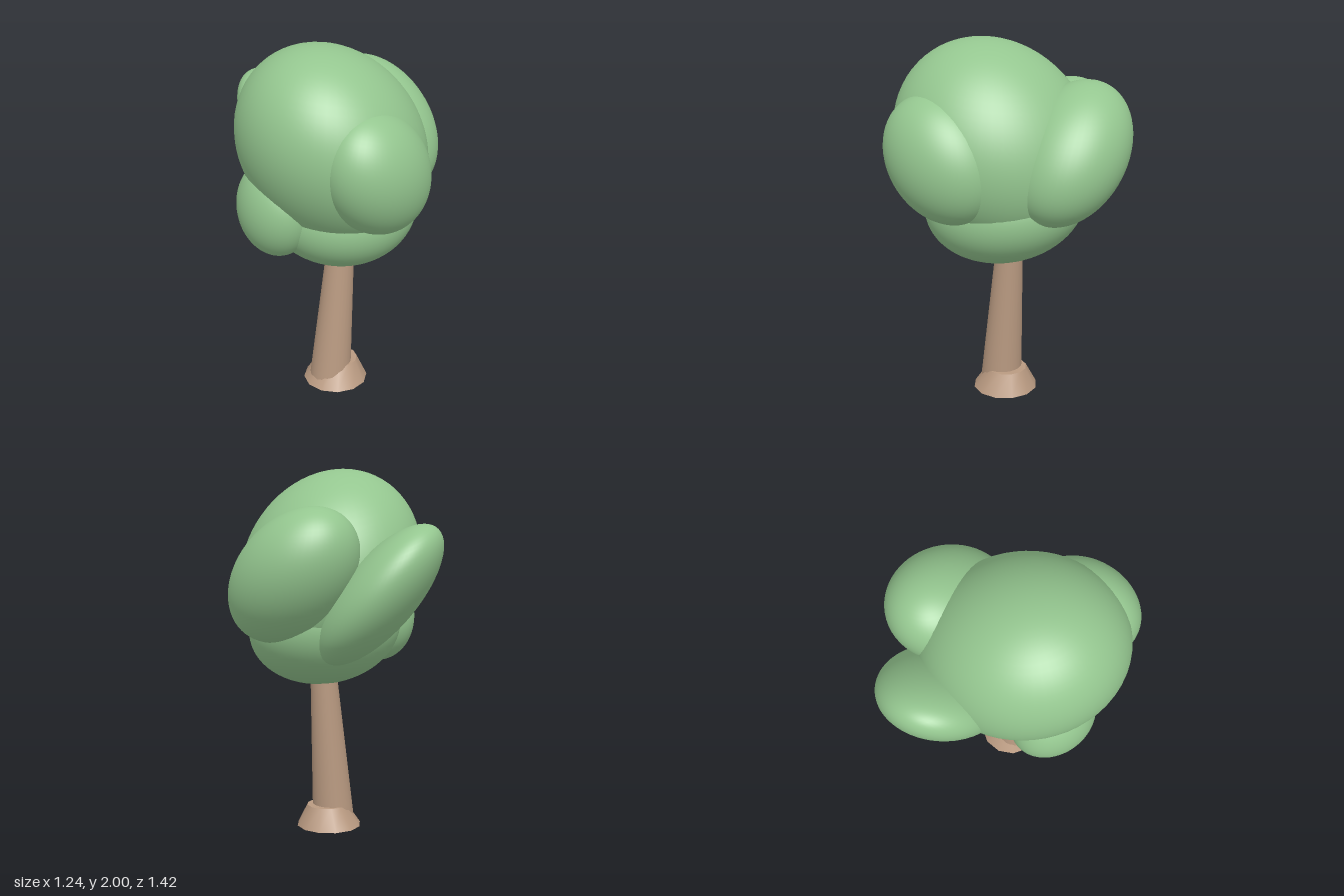
import * as THREE from 'three';

const leafGreen = new THREE.MeshStandardMaterial({ color: 0x94c68f });
leafGreen.name = 'leafGreen';
const barkBrown = new THREE.MeshStandardMaterial({ color: 0xb99a81 });
barkBrown.name = 'barkBrown';

// Ellipsoid with half extents (ex, ey, ez), leaned by the products xy, xz, yz
// (a positive xy leans the top towards +x, and so on).
function leafClump(name, center, [ex, ey, ez], [xy, xz, yz]) {
  const a = xy / ex, b = xz / ex;
  const c = Math.sqrt(ey * ey - a * a);
  const d = (yz - a * b) / c;
  const e = Math.sqrt(ez * ez - b * b - d * d);
  const geometry = new THREE.SphereGeometry(1, 56, 36);
  geometry.applyMatrix4(new THREE.Matrix4().set(
    ex, 0, 0, center[0],
    a, c, 0, center[1],
    b, d, e, center[2],
    0, 0, 0, 1));
  const mesh = new THREE.Mesh(geometry, leafGreen);
  mesh.name = name;
  return mesh;
}

// Tapered round post between two heights, sheared so its ends stay level
function post(name, bottom, top, rBottom, rTop, sides) {
  const height = top[1] - bottom[1];
  const geometry = new THREE.CylinderGeometry(rTop, rBottom, height, sides, 1);
  geometry.translate(0, height / 2, 0);
  geometry.applyMatrix4(new THREE.Matrix4().set(
    1, (top[0] - bottom[0]) / height, 0, bottom[0],
    0, 1, 0, bottom[1],
    0, (top[2] - bottom[2]) / height, 1, bottom[2],
    0, 0, 0, 1));
  const mesh = new THREE.Mesh(geometry, barkBrown);
  mesh.name = name;
  return mesh;
}

export function createModel() {
  const tree = new THREE.Group();
  tree.name = 'tree';

  // Leaning trunk rising out of a flared foot
  tree.add(post('trunk', [-0.095, 0.03, 0.048], [0, 1.1, 0.048], 0.117, 0.062, 24));
  tree.add(post('trunkFoot', [-0.06, 0, 0.048], [-0.045, 0.12, 0.048], 0.182, 0.112, 12));

  // Crown of overlapping leaf clumps
  const crown = new THREE.Group();
  crown.name = 'crown';
  crown.add(
    leafClump('mainClump', [-0.1, 1.46, 0.08], [0.52, 0.54, 0.525], [-0.055, -0.02, 0.003]),
    leafClump('frontClump', [-0.09, 1.425, 0.45], [0.322, 0.335, 0.26], [-0.022, -0.012, 0.003]),
    leafClump('leftClump', [0.31, 1.44, -0.085], [0.31, 0.36, 0.36], [-0.008, 0.008, -0.049]),
    leafClump('backClump', [-0.03, 1.335, -0.37], [0.325, 0.375, 0.34], [-0.047, 0, -0.074]),
    leafClump('lowerClump', [-0.04, 1.135, 0.06], [0.435, 0.325, 0.425], [0.003, -0.01, -0.02]),
    leafClump('rightClump', [-0.43, 1.17, 0.045], [0.19, 0.26, 0.24], [0, 0, 0]));
  tree.add(crown);
  return tree;
}
